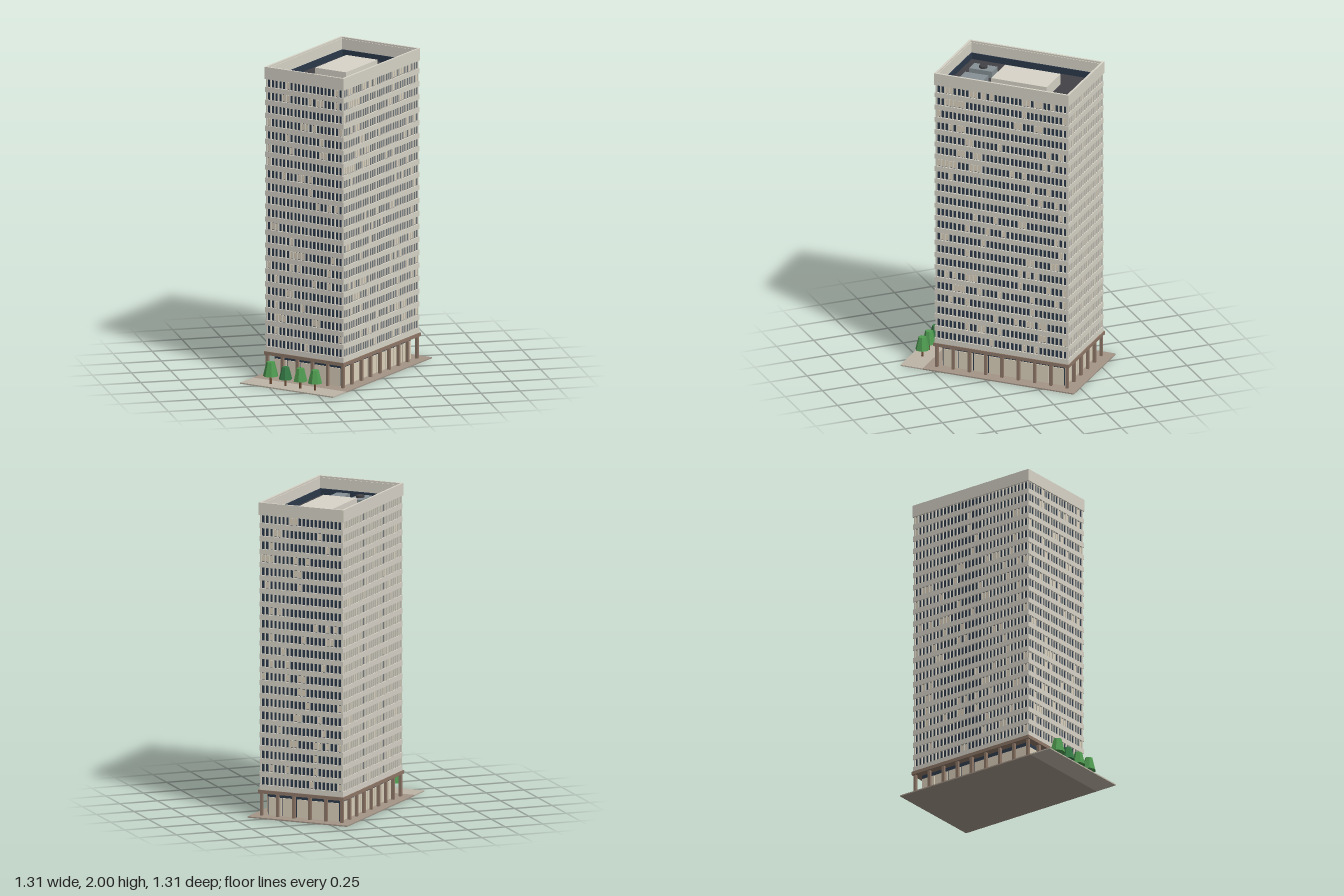
import * as THREE from 'three';
import { mergeGeometries } from 'three/addons/utils/BufferGeometryUtils.js';

const mat = (color) => new THREE.MeshStandardMaterial({ color, roughness: 0.9, flatShading: true });
const M = {
  concrete: mat(0xd8d4c8), glass: mat(0x2c3a4c), lit: mat(0xdcd2bc), brown: mat(0x8f7868),
  paving: mat(0xa39588), walk: mat(0xbdb5a7), deck: mat(0x434347), unit: mat(0x869094),
  trunk: mat(0x6b4a32), leafA: mat(0x4f9a50), leafB: mat(0x357a45),
};

// box geometry with its underside at y0
function box(w, h, d, x, y0, z) {
  return new THREE.BoxGeometry(w, h, d).translate(x, y0 + h / 2, z);
}

// four walls of a rectangular ring with outer size L x W
function ring(L, W, t, y0, h) {
  return [
    box(L, h, t, 0, y0, W / 2 - t / 2), box(L, h, t, 0, y0, -W / 2 + t / 2),
    box(t, h, W - 2 * t, L / 2 - t / 2, y0, 0), box(t, h, W - 2 * t, -L / 2 + t / 2, y0, 0),
  ];
}

// small seeded generator
function seeded(seed) {
  return () => {
    seed = (seed * 1664525 + 1013904223) % 4294967296;
    return seed / 4294967296;
  };
}

export function createModel() {
  const model = new THREE.Group();
  const site = new THREE.Group();
  site.name = 'site';
  site.position.set(0.053, 0, -0.053);
  site.rotation.y = Math.PI / 4;
  model.add(site);

  const add = (name, geos, material, parent = site) => {
    const mesh = new THREE.Mesh(mergeGeometries([geos].flat()), material);
    mesh.name = name;
    parent.add(mesh);
    return mesh;
  };

  const L = 0.88, W = 0.55, BAY = 0.11, CELL = BAY / 4;
  const BASE = 0.172, FLOORS = 21, STOREY = 0.0833, BAND = 0.033;
  const TOP = BASE + FLOORS * STOREY;

  // each facade: length, distance from the centre, turn about y
  const faces = [
    [L, W / 2, 0], [W, L / 2, Math.PI / 2], [L, W / 2, Math.PI], [W, L / 2, -Math.PI / 2],
  ];

  // ground plates
  add('plaza', box(1.02, 0.008, 0.68, 0, 0, 0), M.paving);
  add('sidewalk', box(0.15, 0.008, 0.68, -0.585, 0, 0), M.walk);

  // lobby core with one pale panel per bay
  const inset = 0.03;
  add('lobby', box(L - 2 * inset, 0.145, W - 2 * inset, 0, 0.006, 0), M.glass);
  const panels = [], columns = [];
  for (const [len, dist, turn] of faces) {
    const bays = Math.round(len / BAY);
    const span = (len - 2 * inset) / bays;
    for (let i = 0; i < bays; i++) {
      const x = -len / 2 + inset + (i + 0.5) * span;
      panels.push(box(span - 0.008, 0.115, 0.006, x, 0.008, dist - inset + 0.003).rotateY(turn));
      columns.push(box(0.018, 0.146, 0.018, -len / 2 + i * BAY, 0.006, dist).rotateY(turn));
    }
  }
  add('lobbyPanels', panels, M.lit);
  add('columns', columns, M.brown);
  add('podiumSlab', box(L + 0.035, 0.022, W + 0.035, 0, 0.15, 0), M.brown);

  // tower: glazed core, floor bands, fins and lit windows
  add('glazing', box(L, 1.87 - BASE, W, 0, BASE, 0), M.glass);
  add('upperGlazing', ring(L, W, 0.01, 1.87, TOP - 1.87), M.glass);
  const bands = [], fins = [], lit = [];
  for (let f = 0; f < FLOORS; f++) {
    bands.push(...ring(L + 0.022, W + 0.022, 0.011, BASE + f * STOREY, BAND));
  }
  const random = seeded(17);
  for (const [len, dist, turn] of faces) {
    const cells = Math.round(len / CELL);
    for (let i = 0; i <= cells; i++) {
      const x = -len / 2 + i * CELL;
      fins.push(box(0.007, TOP - BASE, 0.009, x, BASE, dist + 0.0045).rotateY(turn));
    }
    for (let f = 0; f < FLOORS; f++) {
      let last = false;
      for (let i = 0; i < cells; i++) {
        last = random() < (last ? 0.32 : 0.12);
        if (!last) continue;
        const x = -len / 2 + (i + 0.5) * CELL;
        const y = BASE + f * STOREY + BAND + 0.004;
        lit.push(box(0.0205, 0.042, 0.004, x, y, dist + 0.002).rotateY(turn));
      }
    }
  }
  add('floorBands', bands, M.concrete);
  add('fins', fins, M.concrete);
  add('litWindows', lit, M.lit);

  // roof
  const DECK = 1.88;
  add('roofDeck', box(L - 0.002, 0.012, W - 0.002, 0, DECK - 0.012, 0), M.deck);
  add('parapet', ring(L + 0.028, W + 0.028, 0.014, TOP, 2 - TOP), M.concrete);
  add('roofEdge', ring(L, W, 0.004, TOP - 0.002, 0.07), M.concrete);
  add('penthouse', box(0.375, 0.07, 0.227, 0.046, DECK, 0), M.concrete);
  add('roofUnits', [-0.076, 0.073].map((z) => box(0.155, 0.045, 0.088, -0.273, DECK, z)), M.unit);
  add('fan', new THREE.CylinderGeometry(0.027, 0.027, 0.014, 12)
    .translate(-0.273, DECK + 0.052, -0.076), M.deck);

  // row of trees
  for (let i = 0; i < 4; i++) {
    const tree = new THREE.Group();
    tree.name = 'tree';
    tree.position.set(-0.585, 0.006, -0.163 + i * 0.108);
    tree.rotation.y = i * 0.7;
    const s = [1.06, 0.92, 0.97, 0.99][i];
    tree.scale.setScalar(s);
    add('trunk', new THREE.CylinderGeometry(0.006, 0.008, 0.06, 6).translate(0, 0.03, 0), M.trunk, tree);
    add('crown', new THREE.CylinderGeometry(0.025, 0.046, 0.085, 7).translate(0, 0.0925, 0),
      i === 1 ? M.leafB : M.leafA, tree);
    site.add(tree);
  }
  return model;
}
